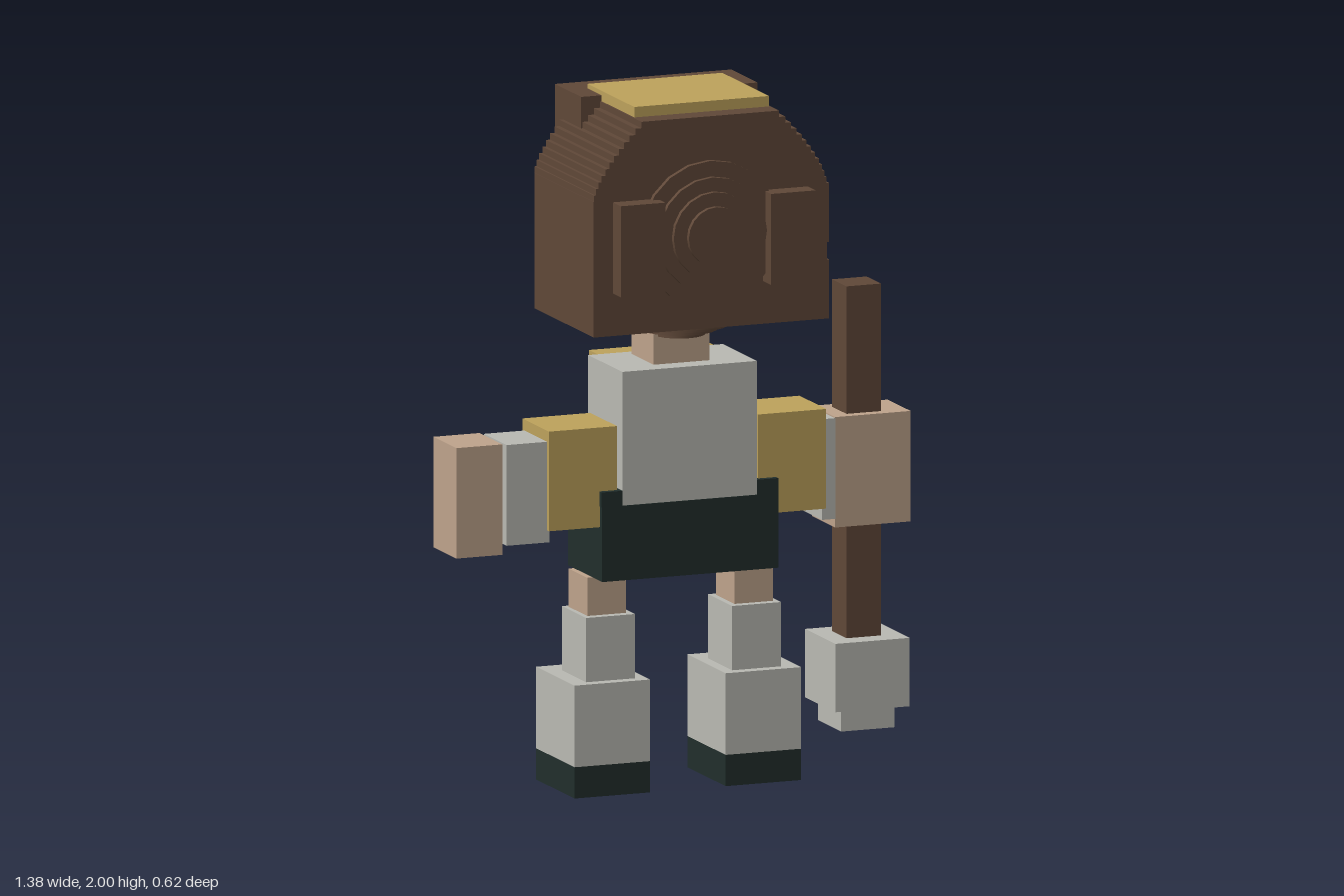
import * as THREE from 'three';

const mat = (name, color) => {
  const m = new THREE.MeshStandardMaterial({ color });
  m.name = name;
  return m;
};

export function createModel() {
  const brown = mat('brown', 0x604838), skin = mat('skin', 0xbfa48c), gold = mat('gold', 0xbea35c);
  const grey = mat('grey', 0xbabab3), dark = mat('dark', 0x212e2c);
  const model = new THREE.Group();
  model.name = 'blockFigure';

  const add = (name, geo, material) => {
    const mesh = new THREE.Mesh(geo, material);
    mesh.name = name;
    model.add(mesh);
    return mesh;
  };
  // Box given by its limits on each axis
  const box = (name, material, x0, x1, y0, y1, z0, z1) =>
    add(name, new THREE.BoxGeometry(x1 - x0, y1 - y0, z1 - z0), material)
      .position.set((x0 + x1) / 2, (y0 + y1) / 2, (z0 + z1) / 2);
  // The same box on both sides of the body's middle plane
  const MID = 0.005;
  const pair = (name, material, x0, x1, ...rest) => {
    box(name + 'Left', material, x0, x1, ...rest);
    box(name + 'Right', material, 2 * MID - x1, 2 * MID - x0, ...rest);
  };
  // Thin plate with clipped corners, standing on a -z surface
  const plate = (name, material, x0, x1, y0, y1, z, c) => {
    const s = new THREE.Shape([
      [x0 + c, y0], [x1 - c, y0], [x1 - c, y0 + c], [x1, y0 + c], [x1, y1 - c], [x1 - c, y1 - c],
      [x1 - c, y1], [x0 + c, y1], [x0 + c, y1 - c], [x0, y1 - c], [x0, y0 + c], [x0 + c, y0 + c],
    ].map(([x, y]) => new THREE.Vector2(x, y)));
    add(name, new THREE.ExtrudeGeometry(s, { depth: 0.004, bevelEnabled: false }), material).position.z = z - 0.004;
  };

  // Legs
  pair('sole', dark, 0.12, 0.35, 0, 0.09, -0.21, 0.077);
  pair('boot', grey, 0.12, 0.35, 0.09, 0.325, -0.21, 0.077);
  pair('shin', grey, 0.153, 0.302, 0.325, 0.51, -0.135, 0.045);
  pair('thigh', skin, 0.17, 0.288, 0.51, 0.62, -0.12, 0.02);

  // Trousers, torso and chest panel
  box('trousers', dark, -0.262, 0.274, 0.62, 0.835, -0.165, 0.092);
  pair('trouserSide', dark, 0.21, 0.274, 0.835, 0.878, -0.165, 0.092);
  box('belt', dark, -0.205, 0.215, 0.775, 0.835, -0.2, -0.165);
  pair('beltEnd', dark, 0.182, 0.215, 0.835, 0.878, -0.2, -0.165);
  box('torso', grey, -0.2, 0.21, 0.835, 1.22, -0.165, 0.09);
  box('chestPanel', gold, -0.172, 0.182, 0.835, 1.22, -0.23, -0.165);
  plate('chestInset', grey, -0.075, 0.09, 0.91, 1.12, -0.23, 0.015);
  box('neck', skin, -0.08, 0.09, 1.22, 1.37, -0.135, 0.03);

  // Arms
  pair('sleeve', gold, 0.22, 0.427, 0.775, 1.062, -0.125, 0.075);
  box('forearmLeft', grey, 0.42, 0.462, 0.74, 1.03, -0.11, 0.06);
  box('forearmRight', grey, -0.54, -0.41, 0.74, 1.03, -0.11, 0.06);
  box('handLeft', skin, 0.46, 0.69, 0.715, 1.033, -0.112, 0.06);
  box('handRight', skin, -0.693, -0.553, 0.715, 1.033, -0.112, 0.06);
  box('armCoreRight', grey, -0.56, -0.53, 0.78, 0.97, -0.08, 0.03);

  // Hammer
  box('hammerHandle', brown, 0.507, 0.612, 0.38, 1.4, -0.078, 0.03);
  box('hammerHead', grey, 0.448, 0.674, 0.19, 0.387, -0.135, 0.092);
  box('hammerTip', grey, 0.477, 0.64, 0.127, 0.19, -0.11, 0.064);

  // Hair: stepped arch profile swept along z
  const half = [[0.355, 1.36], [0.355, 1.75]];
  const STEPS = 12, rise = 0.22 / STEPS;
  for (let i = 0; i < STEPS; i++) {
    const w = 0.2 + 0.155 * (1 - Math.pow((i + 0.5) / STEPS, 1.5));
    half.push([w, 1.75 + i * rise], [w, 1.75 + (i + 1) * rise]);
  }
  const outline = [...half, ...half.map(([w, y]) => [-w, y]).reverse()]
    .map(([x, y]) => new THREE.Vector2(x + MID, y));
  add('hair', new THREE.ExtrudeGeometry(new THREE.Shape(outline), { depth: 0.445, bevelEnabled: false }), brown)
    .position.z = -0.2;
  box('hairSideLower', brown, 0.35, 0.367, 1.36, 1.53, -0.2, 0.245);
  box('hairSideUpper', brown, 0.35, 0.367, 1.58, 1.75, -0.2, 0.245);
  box('fringe', brown, -0.262, 0.275, 1.79, 1.987, -0.262, -0.065);
  pair('fringeLock', brown, 0.08, 0.21, 1.86, 1.9, -0.295, -0.26);
  pair('lockEnd', brown, 0.182, 0.21, 1.83, 1.865, -0.309, -0.295);
  pair('earStud', gold, 0.235, 0.262, 1.765, 1.795, -0.25, -0.2);
  box('crownPlate', gold, -0.2, 0.21, 1.945, 2, -0.17, 0.18);
  pair('hairPad', brown, 0.166, 0.302, 1.483, 1.745, 0.24, 0.305);

  // Stepped round bun and the stepped nape under the hair
  [0.21, 0.165, 0.125, 0.085].forEach((r, i) => {
    const bun = add('bunRing' + i, new THREE.CylinderGeometry(r, r, 0.03, 20), brown);
    bun.rotation.x = Math.PI / 2;
    bun.position.set(0, 1.635, 0.246 + i * 0.015);
    const nape = add('napeRing' + i, new THREE.CylinderGeometry(r * 0.88, r * 0.88, 0.03, 20), brown);
    nape.position.set(MID, 1.36 - i * 0.015, 0.01);
  });

  // Face
  box('face', skin, -0.233, 0.242, 1.39, 1.86, -0.305, -0.195);
  for (const [side, x] of [['Left', 0.112], ['Right', -0.102]]) {
    plate('eye' + side, dark, x - 0.065, x + 0.065, 1.6, 1.76, -0.305, 0.012);
    plate('eyeGlint' + side, grey, x - 0.055, x - 0.005, 1.68, 1.735, -0.308, 0.008);
  }
  return model;
}
